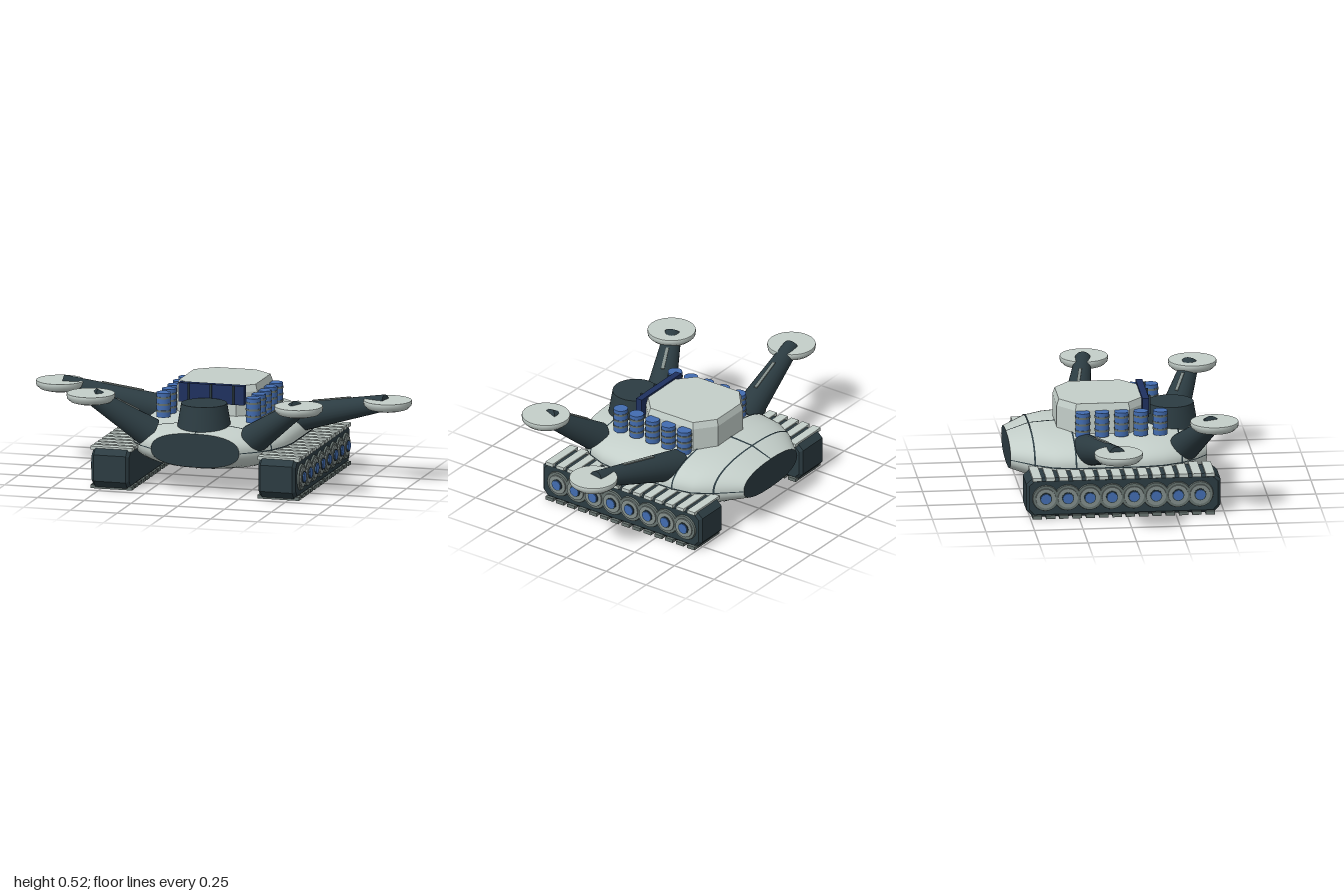
import * as THREE from 'three';
import { mergeVertices } from 'three/addons/utils/BufferGeometryUtils.js';

const mat = (name, color, side = THREE.FrontSide) => {
  const m = new THREE.MeshStandardMaterial({ color, side });
  m.name = name;
  return m;
};

// Hull stations: z, half width, top y, bottom y
const STATIONS = [
  [-0.57, 0.235, 0.31, 0.145], [-0.455, 0.34, 0.35, 0.115], [-0.36, 0.4, 0.357, 0.1],
  [-0.25, 0.42, 0.362, 0.095], [0.1, 0.42, 0.355, 0.095], [0.2, 0.405, 0.348, 0.1],
  [0.3, 0.365, 0.338, 0.11], [0.38, 0.305, 0.326, 0.125], [0.44, 0.235, 0.315, 0.14],
];
const MID = 0.225;

// Point on the hull skin at angle u and station z, pushed outwards by off
function hullPoint(u, z, off = 0) {
  let i = 0;
  while (i < STATIONS.length - 2 && z > STATIONS[i + 1][0]) i++;
  const a = STATIONS[i], b = STATIONS[i + 1], t = (z - a[0]) / (b[0] - a[0]);
  const [hw, top, bot] = [1, 2, 3].map((k) => a[k] + (b[k] - a[k]) * t);
  const pw = (v) => Math.sign(v) * Math.pow(Math.abs(v), 2 / 2.4);
  const c = pw(Math.cos(u)), s = pw(Math.sin(u));
  return [c * (hw + off), MID + s * ((s > 0 ? top - MID : MID - bot) + off), z];
}

// Patch of hull skin between two angles, over a list of z values
function hullPatch(u0, u1, nu, zs, off = 0) {
  const pos = [], idx = [], row = nu + 1;
  zs.forEach((z, j) => {
    for (let i = 0; i <= nu; i++) {
      pos.push(...hullPoint(u0 + ((u1 - u0) * i) / nu, z, off));
      if (i < nu && j < zs.length - 1) {
        const a = j * row + i;
        idx.push(a, a + 1, a + row + 1, a, a + row + 1, a + row);
      }
    }
  });
  let g = new THREE.BufferGeometry();
  g.setAttribute('position', new THREE.Float32BufferAttribute(pos, 3));
  g.setIndex(idx);
  g = mergeVertices(g, 1e-5);
  g.computeVertexNormals();
  return g;
}

export function createModel() {
  const root = new THREE.Group();
  root.name = 'trackedVehicle';
  const shell = mat('shellGrey', 0xc3cec9);
  const dark = mat('darkSlate', 0x2c3c42);
  const seam = mat('seamSlate', 0x2c3c42, THREE.DoubleSide);
  const blue = mat('barrelBlue', 0x426cb0);
  const navy = mat('navy', 0x1f3160);
  const steel = mat('steelGrey', 0x66726f);
  const rim = mat('rimGrey', 0x828d8a);

  const add = (parent, name, geo, m, x = 0, y = 0, z = 0) => {
    const mesh = new THREE.Mesh(geo, m);
    mesh.name = name;
    mesh.position.set(x, y, z);
    parent.add(mesh);
    return mesh;
  };

  // Hull shell with dark oval end plates
  const zs = STATIONS.map((s) => s[0]);
  const TAU = Math.PI * 2;
  add(root, 'hull', hullPatch(0, TAU, 72, zs), shell);
  for (const [name, z, turn] of [['frontPlate', 0.44, 0], ['rearPlate', -0.57, Math.PI]]) {
    const pts = [];
    for (let i = 0; i < 56; i++) {
      const p = hullPoint((i / 56) * TAU, z);
      pts.push(new THREE.Vector2(p[0], p[1]));
    }
    add(root, name, new THREE.ShapeGeometry(new THREE.Shape(pts)), dark, 0, 0, z).rotation.y = turn;
  }

  // Panel seams around and along the hull
  for (const z of [0.3, -0.25, -0.455]) {
    add(root, 'ringSeam', hullPatch(0, TAU, 72, [z - 0.004, z + 0.004], 0.003), seam);
  }
  for (const [u, w] of [[0, 0.012], [Math.PI, 0.012], [Math.PI / 2, 0.007], [-Math.PI / 2, 0.007]]) {
    add(root, 'longSeam', hullPatch(u - w, u + w, 2, zs, 0.003), seam);
  }

  // Octagonal deckhouse with a small bevel at the roof
  const half = [[0.11, -0.32], [0.215, -0.235], [0.215, 0.045], [0.125, 0.125]];
  const outline = [...half, ...half.map(([x, z]) => [-x, z]).reverse()];
  const levels = [[0.3, 1], [0.472, 1], [0.506, 0.95]];
  const tri = [];
  const corner = (i, l) => {
    const [x, z] = outline[i % 8], [y, s] = levels[l];
    return [x * s, y, (z + 0.1) * s - 0.1];
  };
  for (let i = 0; i < 8; i++) {
    for (let l = 0; l < 2; l++) {
      const a = corner(i, l), b = corner(i + 1, l), c = corner(i + 1, l + 1), d = corner(i, l + 1);
      tri.push(...a, ...c, ...b, ...a, ...d, ...c);
    }
    tri.push(0, 0.506, -0.1, ...corner(i + 1, 2), ...corner(i, 2));
  }
  const house = new THREE.BufferGeometry();
  house.setAttribute('position', new THREE.Float32BufferAttribute(tri, 3));
  house.computeVertexNormals();
  add(root, 'deckhouse', house, shell);

  // Navy panel and round dark turret in front of the deckhouse
  add(root, 'frontPanel', new THREE.BoxGeometry(0.35, 0.1, 0.035), navy, 0, 0.465, 0.132);
  for (const x of [-0.12, 0, 0.12]) {
    add(root, 'panelRib', new THREE.BoxGeometry(0.01, 0.1, 0.012), dark, x, 0.467, 0.154);
  }
  add(root, 'turret', new THREE.CylinderGeometry(0.118, 0.14, 0.13, 40), dark, 0, 0.38, 0.277);

  // Tapered arm with a grey strip on its back, ending in a round pad
  const addArm = (side, name, from, to, r0, r1, pad) => {
    const g = new THREE.Group();
    g.name = name;
    root.add(g);
    const a = new THREE.Vector3(from[0] * side, from[1], from[2]);
    const b = new THREE.Vector3(to[0] * side, to[1], to[2]);
    const dir = b.clone().sub(a);
    const length = dir.length();
    dir.normalize();
    const arm = add(g, 'arm', new THREE.CylinderGeometry(r1, r0, length, 24), dark);
    arm.position.copy(a).add(b).multiplyScalar(0.5);
    arm.quaternion.setFromUnitVectors(new THREE.Vector3(0, 1, 0), dir);
    const across = new THREE.Vector3(0, 1, 0).cross(dir).normalize();
    const up = dir.clone().cross(across);
    const strip = add(g, 'armStrip', new THREE.BoxGeometry(0.016, 0.008, length * 0.36), rim);
    strip.position.copy(arm.position).addScaledVector(up, (r0 + r1) / 2 + 0.001);
    const slope = dir.clone().multiplyScalar(length).addScaledVector(up, r1 - r0).normalize();
    strip.quaternion.setFromRotationMatrix(new THREE.Matrix4().makeBasis(across, slope.clone().cross(across), slope));
    const profile = [[0, -0.052], [0.07, -0.052], [0.105, -0.042], [0.122, -0.026], [0.125, -0.008], [0.123, 0]];
    const bowl = new THREE.LatheGeometry(profile.map((p) => new THREE.Vector2(...p)), 40);
    add(g, 'pad', bowl, shell, pad[0] * side, pad[1], pad[2]);
    const top = new THREE.CircleGeometry(0.123, 40).rotateX(-Math.PI / 2);
    add(g, 'padTop', top, shell, pad[0] * side, pad[1], pad[2]);
  };

  for (const side of [1, -1]) {
    const label = side > 0 ? 'left' : 'right';
    addArm(side, label + 'RearArm', [0.28, 0.28, -0.185], [0.865, 0.425, -0.085], 0.082, 0.042, [0.875, 0.44, -0.08]);
    addArm(side, label + 'FrontArm', [0.275, 0.28, 0.318], [0.55, 0.48, 0.435], 0.079, 0.045, [0.555, 0.498, 0.446]);

    // Row of banded barrels beside the deckhouse
    for (let i = -2; i <= 2; i++) {
      const barrel = new THREE.Group();
      barrel.name = label + 'Barrel';
      barrel.position.set(0.24 * side, 0, i * 0.1);
      root.add(barrel);
      add(barrel, 'drum', new THREE.CylinderGeometry(0.037, 0.037, 0.127, 24), blue, 0, 0.4075, 0);
      for (const y of [0.376, 0.411, 0.446]) {
        add(barrel, 'band', new THREE.CylinderGeometry(0.0395, 0.0395, 0.01, 24), steel, 0, y, 0);
      }
    }

    // Track block with chamfered ends
    const track = new THREE.Group();
    track.name = label + 'Track';
    root.add(track);
    const s = new THREE.Shape([
      [0.465, 0.05], [0.465, 0.175], [0.44, 0.198], [-0.48, 0.198], [-0.505, 0.175],
      [-0.505, 0.05], [-0.48, 0.022], [0.44, 0.022],
    ].map((p) => new THREE.Vector2(...p)));
    const block = new THREE.ExtrudeGeometry(s, { depth: 0.17, bevelThickness: 0.015, bevelSize: 0.015, bevelSegments: 1 });
    block.rotateY(-Math.PI / 2).translate(0.085, 0, 0);
    add(track, 'trackBlock', block, dark, 0.445 * side);

    // Tread slats: pale above, steel below
    for (let i = 0; i < 14; i++) {
      const z = 0.425 - i * 0.0685;
      for (const [y, m] of [[0.211, shell], [0.009, steel]]) {
        add(track, 'slat', new THREE.BoxGeometry(0.222, 0.018, 0.047), m, 0.446 * side, y, z);
      }
    }

    // Road wheels: tyre, rim, dark ring and hub
    for (let i = 0; i < 8; i++) {
      const z = 0.373 - i * 0.1135;
      const disc = (name, r, r2, x0, x1, m) => {
        const g = new THREE.CylinderGeometry(r2, r, x1 - x0, 28).rotateZ(-side * Math.PI / 2);
        add(track, name, g, m, ((x0 + x1) / 2) * side, 0.11, z);
      };
      disc('tyre', 0.077, 0.066, 0.52, 0.554, steel);
      disc('rim', 0.055, 0.051, 0.53, 0.56, rim);
      disc('hubRing', 0.031, 0.031, 0.53, 0.564, dark);
      disc('hub', 0.026, 0.026, 0.53, 0.569, blue);
    }
  }
  return root;
}
